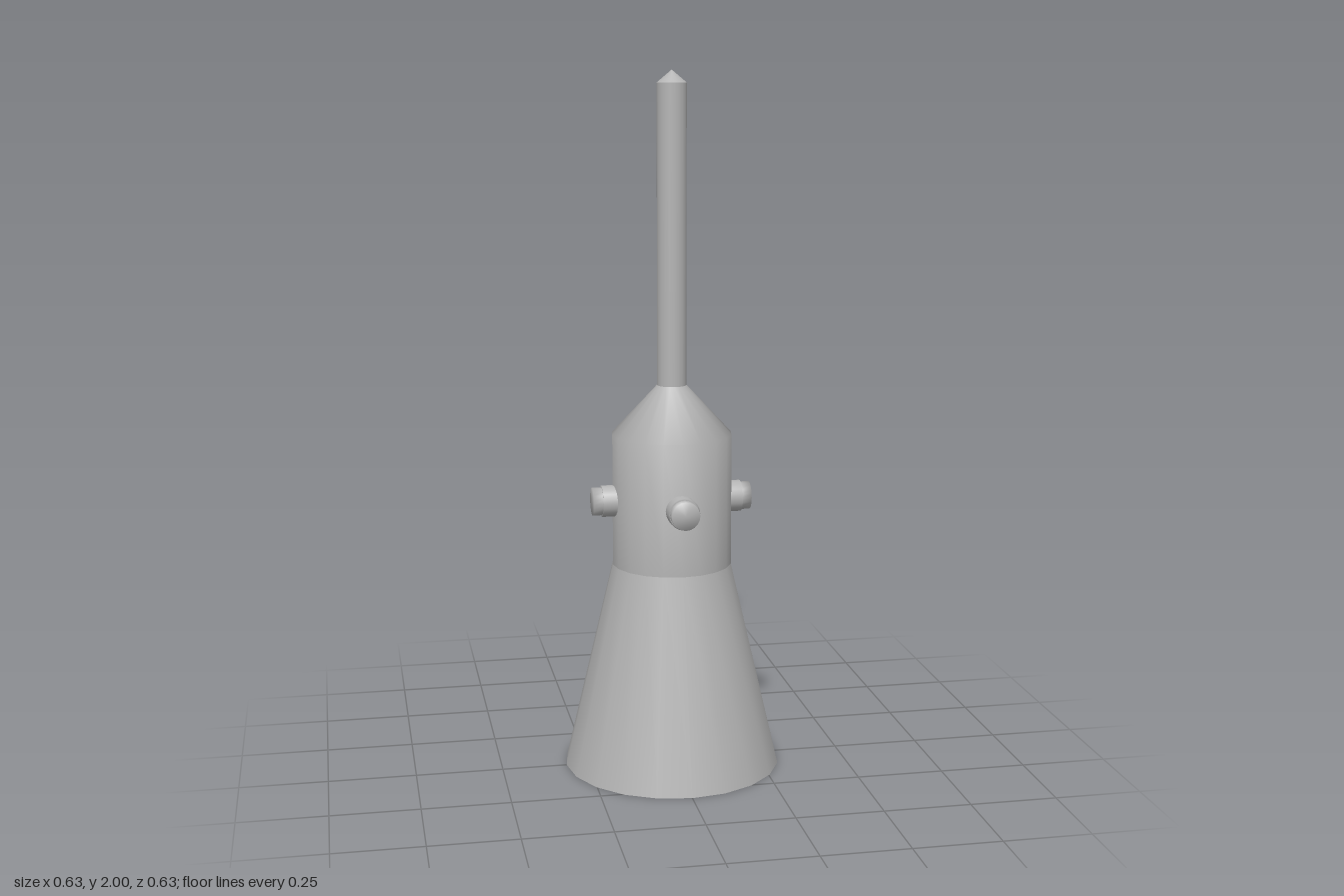
import * as THREE from 'three';

export function createModel() {
  const model = new THREE.Group();
  const grey = new THREE.MeshStandardMaterial({ color: 0xb4b4b4 });
  grey.name = 'plain grey';

  // Turned part from [radius, height] pairs, bottom to top
  function turned(name, profile, sides, parent = model) {
    const points = profile.map(([r, y]) => new THREE.Vector2(r, y));
    const mesh = new THREE.Mesh(new THREE.LatheGeometry(points, sides), grey);
    mesh.name = name;
    parent.add(mesh);
    return mesh;
  }

  // Flared skirt and its flat underside
  turned('base', [[0, 0], [0.313, 0], [0.313, 0]].slice(0, 2), 20);
  turned('skirt', [[0.313, 0], [0.172, 0.6]], 20);

  // Upright body running smoothly into the conical shoulder
  turned('body', [[0.172, 0.6], [0.172, 0.98], [0.042, 1.12]], 20);

  // Slim rod with a pointed tip
  turned('rod', [[0.042, 1.12], [0.042, 1.39], [0.042, 1.965]], 20);
  turned('rodTip', [[0.042, 1.965], [0, 2]], 20);

  // Four stepped knobs around the body: [name, turn, reach, sideways shift]
  const knobs = [
    ['frontKnob', 0, 0.232, -0.003],
    ['leftKnob', Math.PI / 2, 0.226, -0.005],
    ['backKnob', Math.PI, 0.225, 0.002],
    ['rightKnob', -Math.PI / 2, 0.232, 0.005],
  ];
  for (const [name, turn, reach, shift] of knobs) {
    const knob = new THREE.Group();
    knob.name = name;
    knob.rotation.y = turn;
    model.add(knob);
    const collarEnd = reach - 0.027;
    const collar = turned('collar', [[0.045, 0.14], [0.045, collarEnd], [0.04, collarEnd]], 20, knob);
    const cap = turned('cap', [[0.04, collarEnd], [0.04, reach], [0, reach]], 20, knob);
    for (const part of [collar, cap]) {
      part.rotation.x = Math.PI / 2;
      part.position.set(shift, 0.79, 0);
    }
  }

  return model;
}
